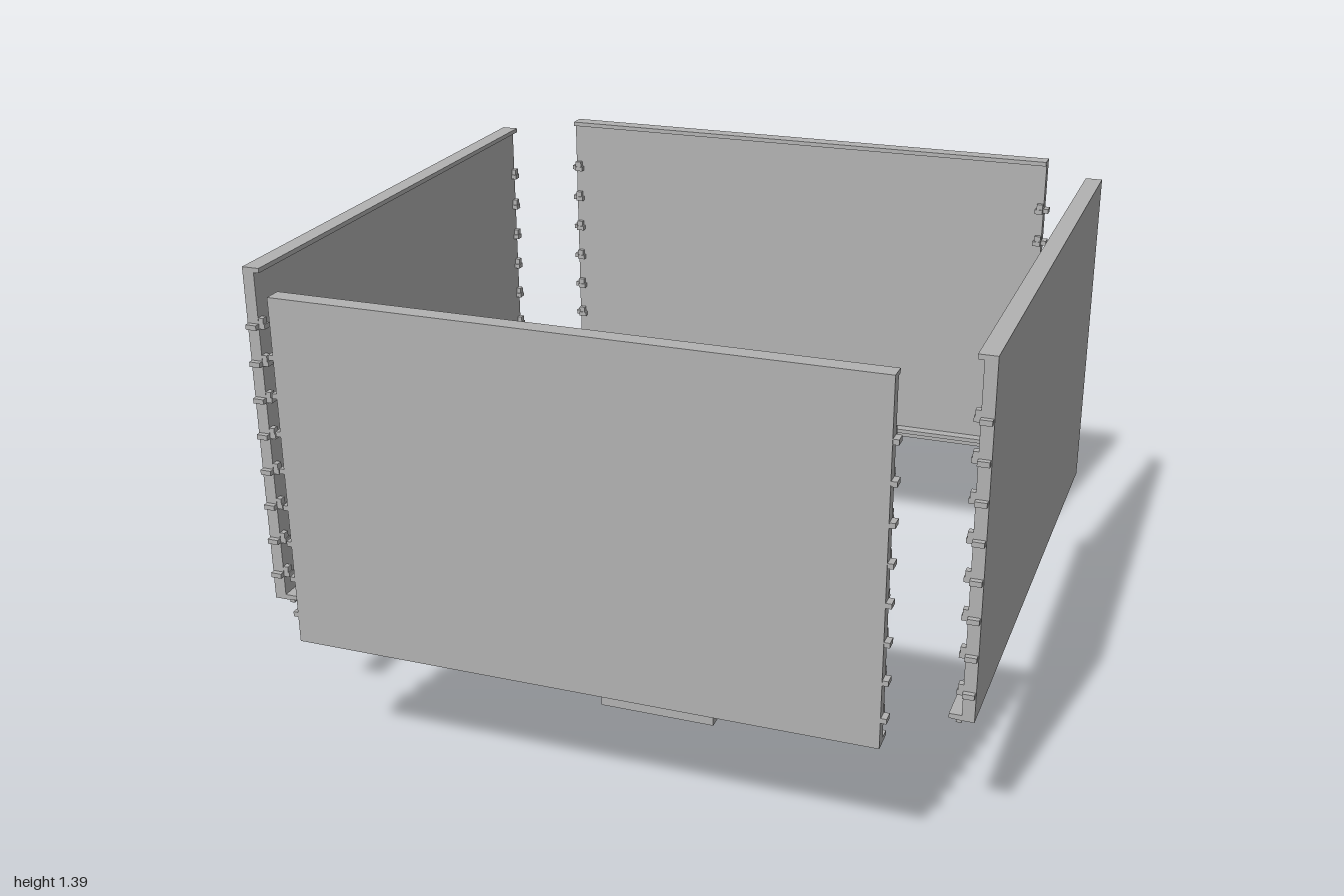
import * as THREE from 'three';

const grey = new THREE.MeshStandardMaterial({ color: 0xb2b2b2 });
grey.name = 'grey';

// Box given by its limits on each axis
function box(parent, name, x0, x1, y0, y1, z0, z1) {
  const mesh = new THREE.Mesh(new THREE.BoxGeometry(x1 - x0, y1 - y0, z1 - z0), grey);
  mesh.name = name;
  mesh.position.set((x0 + x1) / 2, (y0 + y1) / 2, (z0 + z1) / 2);
  parent.add(mesh);
}

// Constant profile in (z, y), swept along x between -half and +half
function sweep(parent, name, points, half) {
  const shape = new THREE.Shape(points.map(([z, y]) => new THREE.Vector2(-z, y)));
  const geometry = new THREE.ExtrudeGeometry(shape, { depth: 2 * half, bevelEnabled: false });
  geometry.translate(0, 0, -half).rotateY(Math.PI / 2);
  const mesh = new THREE.Mesh(geometry, grey);
  mesh.name = name;
  parent.add(mesh);
}

// Large wall panel with rims and interlocking pegs on both ends
function createPanel() {
  const panel = new THREE.Group();
  panel.name = 'wallPanel';
  sweep(panel, 'panelSheet', [
    [1, 0.408], [1, 1.387], [0.951, 1.387], [0.951, 1.374], [0.967, 1.374],
    [0.967, 0.423], [0.934, 0.423], [0.934, 0.41], [0.965, 0.408],
  ], 0.805);
  box(panel, 'bottomTongue', -0.79, 0.79, 0.392, 0.412, 0.95, 0.964);

  for (let i = 0; i < 8; i++) {
    const y = 0.487 + i * 0.1053;
    for (const s of [-1, 1]) {
      const span = (a, b) => (s > 0 ? [a, b] : [-b, -a]);
      box(panel, 'pegEnd', ...span(0.8, 0.82), y - 0.007, y + 0.007, 0.967, 0.998);
      box(panel, 'pegArm', ...span(0.78, 0.804), y - 0.007, y + 0.007, 0.95, 0.97);
      box(panel, 'pegHook', ...span(0.785, 0.804), y, y + 0.024, 0.953, 0.968);
    }
  }
  return panel;
}

// Small bracket with a cap, a base and two shelves facing inwards
function createBracket() {
  const bracket = new THREE.Group();
  bracket.name = 'bracket';
  const w = 0.175;
  sweep(bracket, 'bracketBody', [
    [0.418, 0], [0.418, 0.25], [0.436, 0.25], [0.436, 0.265], [0.385, 0.265],
    [0.385, 0.25], [0.402, 0.25], [0.402, 0.015], [0.264, 0.015], [0.264, 0],
  ], w);
  sweep(bracket, 'upperShelf', [
    [0.403, 0.184], [0.403, 0.194], [0.385, 0.199], [0.335, 0.199], [0.335, 0.184],
  ], w);
  sweep(bracket, 'lowerShelf', [
    [0.403, 0.096], [0.403, 0.109], [0.34, 0.109], [0.335, 0.105],
    [0.298, 0.105], [0.298, 0.093], [0.335, 0.093], [0.34, 0.096],
  ], w);
  // Ribbed strip under the lower shelf
  for (let i = 0; i < 6; i++) {
    const y = 0.022 + i * 0.0125;
    box(bracket, 'rib', -w, w, y, y + 0.008, 0.387, 0.404);
  }
  return bracket;
}

export function createModel() {
  const model = new THREE.Group();
  model.name = 'panelSet';
  for (let i = 0; i < 4; i++) {
    const side = new THREE.Group();
    side.name = ['frontSide', 'leftSide', 'backSide', 'rightSide'][i];
    side.add(createPanel(), createBracket());
    side.rotation.y = i * Math.PI / 2;
    model.add(side);
  }
  return model;
}
